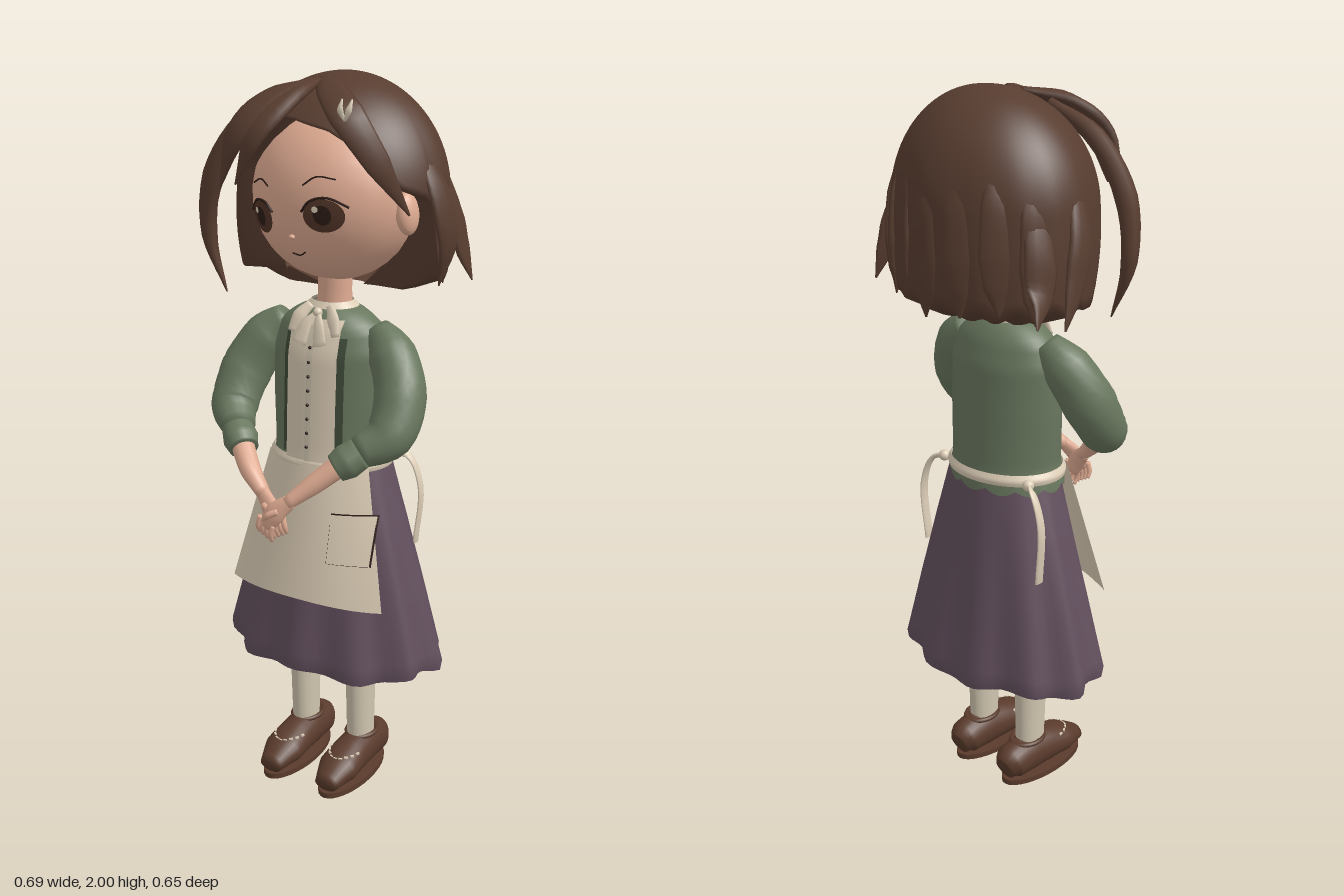
import * as THREE from 'three';

const V = (x, y, z) => new THREE.Vector3(x, y, z);
const paint = (name, color) => {
  const m = new THREE.MeshStandardMaterial({ color, side: THREE.DoubleSide });
  m.name = name;
  return m;
};

// Piecewise linear lookup in rows keyed by their first number
function lookup(rows, k) {
  let i = 0;
  while (i < rows.length - 2 && k > rows[i + 1][0]) i++;
  const a = rows[i], b = rows[i + 1];
  const t = THREE.MathUtils.clamp((k - a[0]) / (b[0] - a[0]), 0, 1);
  return a.map((v, j) => v + (b[j] - v) * t);
}

// Surface from a rule f(u, v); wrap joins the last column to the first
function grid(nu, nv, f, wrap = false) {
  const pos = [], idx = [], cols = wrap ? nu : nu + 1;
  for (let j = 0; j <= nv; j++)
    for (let i = 0; i < cols; i++) pos.push(...f(i / nu, j / nv));
  for (let j = 0; j < nv; j++)
    for (let i = 0; i < nu; i++) {
      const a = j * cols + i, b = j * cols + (i + 1) % cols;
      idx.push(a, b, b + cols, a, b + cols, a + cols);
    }
  const g = new THREE.BufferGeometry();
  g.setAttribute('position', new THREE.Float32BufferAttribute(pos, 3));
  g.setIndex(idx);
  g.computeVertexNormals();
  return g;
}

// Stacked ellipses, rows of [y, rx, rz, cz]; ripple(angle, k) returns [radius scale, y shift]
function loft(rows, steps, ripple = () => [1, 0]) {
  const y0 = rows[0][0], y1 = rows[rows.length - 1][0];
  return grid(72, steps, (u, v) => {
    const a = u * Math.PI * 2, [y, rx, rz, cz] = lookup(rows, y0 + (y1 - y0) * v);
    const [s, dy] = ripple(a, 1 - v);
    return [Math.sin(a) * rx * s, y + dy, cz + Math.cos(a) * rz * s];
  }, true);
}

// Oval section swept along a path; sizes are [half width, half thickness]
function sweep(pts, sizes, out, n = 12) {
  const curve = new THREE.CatmullRomCurve3(pts.map(p => V(...p)));
  const N = (pts.length - 1) * 5;
  return grid(n, N + 2, (u, v) => {
    const j = Math.round(v * (N + 2)), t = THREE.MathUtils.clamp((j - 1) / N, 0, 1);
    const p = curve.getPoint(t), tan = curve.getTangent(t);
    const side = V().crossVectors(tan, out(p)).normalize(), up = V().crossVectors(side, tan);
    const cap = j === 0 || j === N + 2 ? 0 : 1;
    const q = t * (sizes.length - 1), i = Math.min(Math.floor(q), sizes.length - 2);
    const [w, h] = sizes[i].map((s, k) => s + (sizes[i + 1][k] - s) * (q - i));
    const a = u * Math.PI * 2;
    return p.addScaledVector(side, Math.cos(a) * w * cap)
      .addScaledVector(up, Math.sin(a) * h * cap).toArray();
  }, true);
}

export function createModel() {
  const model = new THREE.Group();
  model.name = 'girl';
  const hair = paint('hair brown', 0x583d30), skin = paint('skin', 0xdfab92);
  const green = paint('jacket green', 0x69775e), darkGreen = paint('jacket edge', 0x3e4a38);
  const cream = paint('cream cloth', 0xdccdb6), stocking = paint('stocking', 0xd0c5af);
  const purple = paint('skirt purple', 0x624f5d), leather = paint('shoe leather', 0x5a3b2c);
  const dark = paint('dark brown', 0x2c1b16), iris = paint('iris', 0x523528);
  const add = (name, geo, mat, parent = model) => {
    const m = new THREE.Mesh(geo, mat);
    m.name = name;
    parent.add(m);
    return m;
  };
  const ball = (name, r, p, mat, scale = [1, 1, 1], parent = model) => {
    const m = add(name, new THREE.SphereGeometry(r, 24, 16), mat, parent);
    m.position.set(...p);
    m.scale.set(...scale);
    return m;
  };
  const toUp = () => V(0, 1, 0), toFront = () => V(0, 0, 1);

  // Skirt, with pleats deepening toward the hem
  const skirtRows = [[0.375, 0.32, 0.206, -0.023], [0.39, 0.327, 0.211, -0.023], [0.6, 0.274, 0.18, -0.021],
    [0.8, 0.219, 0.152, -0.018], [0.98, 0.165, 0.128, -0.015]];
  add('skirt', loft(skirtRows, 24, (a, k) => [1 + 0.05 * k * Math.cos(11 * a + 0.4), 0.008 * k * Math.cos(5 * a)]), purple)
    .position.x = 0.008;

  // Jacket body with scalloped hem
  const torsoRows = [[0.95, 0.178, 0.138, -0.015], [1.0, 0.165, 0.13, -0.015], [1.15, 0.172, 0.122, -0.015],
    [1.28, 0.172, 0.114, -0.015], [1.35, 0.15, 0.095, -0.015], [1.385, 0.105, 0.075, -0.015], [1.405, 0.055, 0.05, -0.018]];
  add('jacketBody', loft(torsoRows, 30, (a, k) => [1, k > 0.97 ? -0.016 * Math.abs(Math.cos(6 * a)) : 0]), green);
  const torsoZ = (x, y) => {
    const [, rx, rz, cz] = lookup(torsoRows, y);
    return cz + rz * Math.sqrt(Math.max(0, 1 - (x / rx) ** 2));
  };
  const panel = (x0, x1, y0, y1, off) => grid(12, 16, (u, v) => {
    const x = x0 + (x1 - x0) * u, y = y0 + (y1 - y0) * v;
    return [x, y, torsoZ(x, y) + off];
  });

  // Blouse front, jacket edges and buttons
  add('jacketOpening', panel(-0.087, 0.097, 1.0, 1.33, 0.003), darkGreen);
  add('blouseFront', panel(-0.07, 0.08, 0.99, 1.375, 0.008), cream);
  add('placket', panel(-0.005, 0.013, 0.99, 1.36, 0.011), stocking);
  for (let i = 0; i < 8; i++) {
    const y = 1.03 + i * 0.039;
    ball('button', 0.0045, [0.004, y, torsoZ(0, y) + 0.013], dark);
  }

  // Collar, neck and neck bow
  add('neck', loft([[1.38, 0.05, 0.046, -0.018], [1.43, 0.047, 0.043, -0.018], [1.52, 0.047, 0.043, -0.018]], 8), skin).position.x = 0.006;
  add('collarBand', loft([[1.372, 0.1, 0.076, -0.017], [1.397, 0.075, 0.062, -0.017], [1.412, 0.058, 0.052, -0.017]], 6), cream);
  for (const s of [-1, 1]) {
    add('collarFlap', sweep([[0.03 * s, 1.405, 0.045], [0.052 * s, 1.375, 0.068], [0.068 * s, 1.335, 0.083]],
      [[0.012, 0.008], [0.02, 0.009], [0.012, 0.006]], toFront), cream);
    add('bowTail', sweep([[0.005, 1.39, 0.065], [0.018 * s, 1.36, 0.085], [0.032 * s, 1.31, 0.104]],
      [[0.008, 0.006], [0.016, 0.006], [0.021, 0.004]], toFront), cream);
  }
  ball('bowKnot', 0.013, [0.004, 1.39, 0.066], cream);

  // Apron with pocket and waistband
  const apronHalf = y => 0.158 + (0.985 - y) * 0.226;
  const apronZ = (x, y) => 0.128 + (0.98 - y) * 0.185 - 0.06 * ((x - 0.006) / apronHalf(y)) ** 2;
  add('apron', grid(20, 20, (u, v) => {
    const y = 0.985 - 0.38 * v, x = (u * 2 - 1) * apronHalf(y) + 0.006;
    return [x, y - 0.005 * Math.cos(u * Math.PI * 2) * v, apronZ(x, y)];
  }), cream);
  const pocket = (x0, x1, y0, y1, off) => grid(8, 8, (u, v) => {
    const x = x0 + (x1 - x0) * u, y = y0 + (y1 - y0) * v;
    return [x, y, apronZ(x, y) + off];
  });
  add('pocketEdge', pocket(0.093, 0.21, 0.724, 0.862, 0.006), dark);
  add('pocket', pocket(0.096, 0.207, 0.727, 0.859, 0.011), cream);
  add('pocketHem', pocket(0.094, 0.209, 0.838, 0.861, 0.014), cream);
  add('waistband', loft([[0.965, 0.178, 0.141, -0.015], [0.978, 0.181, 0.144, -0.015], [0.995, 0.17, 0.136, -0.015]], 6), cream);
  for (const s of [-1, 1]) {
    add('apronTie', sweep([[0.15 * s, 0.978, -0.1], [0.19 * s, 0.965, -0.115], [0.225 * s, 0.88, -0.12], [0.215 * s, 0.71, -0.115]],
      [[0.008, 0.006], [0.012, 0.005], [0.014, 0.005], [0.015, 0.005]], () => V(s, 0, 0)), cream);
    ball('tieKnot', 0.016, [0.16 * s, 0.975, -0.1], cream);
  }

  // Arms, hands, legs and shoes
  for (const s of [-1, 1]) {
    const arm = new THREE.Group();
    arm.name = s > 0 ? 'leftArm' : 'rightArm';
    model.add(arm);
    add('sleeve', sweep([[0.14 * s, 1.345, -0.012], [0.195 * s, 1.29, 0.005], [0.245 * s, 1.19, 0.045], [0.245 * s, 1.1, 0.105], [0.19 * s, 1.06, 0.165]],
      [[0.035, 0.04], [0.064, 0.066], [0.07, 0.074], [0.066, 0.064], [0.045, 0.042]], toUp, 20), green, arm);
    add('cuff', sweep([[0.195 * s, 1.062, 0.165], [0.168 * s, 1.04, 0.187], [0.145 * s, 1.022, 0.205]],
      [[0.043, 0.043], [0.049, 0.047], [0.04, 0.038]], toUp, 16), green, arm);
    const dz = 0.012 * s;
    add('forearm', sweep([[0.165 * s, 1.04, 0.19], [0.1 * s, 0.98, 0.24], [0.045 * s, 0.93, 0.272 + dz]],
      [[0.033, 0.031], [0.029, 0.027], [0.02, 0.018]], toUp, 14), skin, arm);
    add('palm', sweep([[0.055 * s, 0.938, 0.267 + dz], [0.015 * s, 0.9, 0.285 + dz], [-0.01 * s, 0.86, 0.288 + dz]],
      [[0.019, 0.015], [0.029, 0.014], [0.024, 0.012]], toFront, 14), skin, arm);
    for (let i = 0; i < 4; i++) {
      const x = (0.012 - i * 0.013) * s, y = 0.856 + i * 0.007;
      add('finger', sweep([[x, y + 0.01, 0.29 + dz], [x - 0.007 * s, y - 0.018, 0.292 + dz], [x - 0.008 * s, y - 0.038, 0.284 + dz]],
        [[0.008, 0.008], [0.0075, 0.0075], [0.005, 0.005]], toFront, 8), skin, arm);
    }
    add('thumb', sweep([[0.03 * s, 0.91, 0.295 + dz], [0.008 * s, 0.9, 0.306 + dz], [-0.008 * s, 0.885, 0.306 + dz]],
      [[0.009, 0.009], [0.009, 0.008], [0.006, 0.006]], toFront, 8), skin, arm);

    const leg = new THREE.Group();
    leg.name = s > 0 ? 'leftLeg' : 'rightLeg';
    leg.position.x = 0.095 * s + 0.008;
    model.add(leg);
    add('stocking', loft([[0.08, 0.036, 0.046, -0.008], [0.2, 0.038, 0.05, -0.007], [0.42, 0.042, 0.055, -0.005], [0.6, 0.045, 0.055, -0.005]], 14), stocking, leg);
    add('shoe', sweep([[0, 0.052, -0.117], [0, 0.064, -0.09], [0, 0.07, -0.02], [0, 0.067, 0.05], [0, 0.058, 0.12], [0, 0.038, 0.19]],
      [[0.03, 0.038], [0.05, 0.053], [0.053, 0.06], [0.056, 0.055], [0.06, 0.044], [0.034, 0.024]], toUp, 24), leather, leg);
    const lip = add('shoeOpening', new THREE.TorusGeometry(0.042, 0.007, 8, 24), leather, leg);
    lip.rotation.x = Math.PI / 2;
    lip.scale.y = 1.25;
    lip.position.set(0, 0.118, -0.018);
    const sole = add('sole', new THREE.CylinderGeometry(0.064, 0.064, 0.016, 32), leather, leg);
    sole.scale.z = 2.45;
    sole.position.set(0, 0.008, 0.042);
    // Stitching over the vamp
    for (let i = -4; i <= 4; i++) {
      const a = i * 0.33, x = Math.sin(a) * 0.045, z = 0.065 + Math.cos(a) * 0.07;
      const [, w, h, cy] = lookup([[0.05, 0.056, 0.055, 0.067], [0.12, 0.06, 0.044, 0.058], [0.19, 0.034, 0.024, 0.038]], z);
      const d = add('stitch', new THREE.BoxGeometry(0.011, 0.006, 0.005), cream, leg);
      d.position.set(x, cy + h * Math.sqrt(1 - (x / w) ** 2) + 0.002, z);
      d.rotation.y = a;
    }
  }

  // Head, tilted and turned slightly
  const head = new THREE.Group();
  head.name = 'head';
  head.position.set(0, 1.69, -0.03);
  head.rotation.set(0, -0.15, 0.12);
  model.add(head);
  ball('face', 1, [0, 0, 0], skin, [0.236, 0.225, 0.2], head);
  const faceZ = (x, y) => 0.2 * Math.sqrt(Math.max(0, 1 - (x / 0.236) ** 2 - (y / 0.225) ** 2));
  const disc = (cx, cy, w, h, off) => grid(28, 5, (u, v) => {
    const a = u * Math.PI * 2, x = cx + Math.cos(a) * w * v, y = cy + Math.sin(a) * h * v;
    return [x, y, faceZ(x, y) + off];
  }, true);
  const line = (name, pts, r) => add(name, new THREE.TubeGeometry(
    new THREE.CatmullRomCurve3(pts.map(([x, y]) => V(x, y, faceZ(x, y) + 0.002))), 16, r, 6), dark, head);
  for (const s of [-1, 1]) {
    const x = 0.104 * s, y = -0.037;
    add('eye', disc(x, y, 0.05, 0.042, 0.003), iris, head);
    add('pupil', disc(x, y + 0.002, 0.022, 0.025, 0.005), dark, head);
    add('eyeGlint', disc(x - 0.014, y + 0.018, 0.008, 0.008, 0.007), cream, head);
    line('lashLine', [[x - 0.054 * s, y + 0.014], [x - 0.028 * s, y + 0.039], [x + 0.015 * s, y + 0.044], [x + 0.06 * s, y + 0.016]], 0.0035);
    line('eyebrow', [[x - 0.045 * s, 0.042], [x - 0.01 * s, 0.06], [x + 0.035 * s, 0.05]], 0.0022);
    ball('ear', 0.05, [0.232 * s, -0.055, 0.0], skin, [0.5, 1.1, 0.75], head);
  }
  ball('nose', 0.009, [0, -0.088, faceZ(0, -0.088)], skin, [1, 0.8, 1], head);
  line('mouth', [[-0.022, -0.132], [0, -0.138], [0.022, -0.13]], 0.002);

  // Hair shell: bottom height by angle from the front, with the rim folded under
  const edge = [[-3.15, 1.485], [-1.22, 1.47], [-1.05, 1.6], [-0.8, 1.77], [-0.37, 1.895], [-0.1, 1.89], [0.3, 1.87],
    [0.67, 1.82], [1.0, 1.73], [1.3, 1.7], [1.46, 1.49], [3.15, 1.485]];
  const shell = (a, y, scale = 1) => {
    const low = Math.max(0, 1.7 - y), c = Math.cos(a);
    const flat = c < 0 ? 1 - 0.07 * Math.max(0, -Math.sin(2 * a)) : 1;
    const r = (y > 1.7 ? Math.sqrt(Math.max(0, 1 - ((y - 1.7) / 0.3) ** 2)) : 1 + 0.25 * low - 1.5 * low * low) * scale * flat;
    return [Math.sin(a) * 0.3 * r, y, -0.085 + c * (c > 0 ? 0.27 : 0.228) * r];
  };
  add('hairCap', grid(120, 40, (u, v) => {
    const a = u * Math.PI * 2 - Math.PI, back = Math.abs(a) > 1.45 ? 1 : 0;
    const s = Math.min(1, v / 0.85), fold = Math.max(0, v - 0.85) / 0.15;
    const yb = lookup(edge, a)[1] + 0.01 * Math.cos(17 * a) * back * (1 - fold);
    const ridge = 1 + 0.01 * Math.cos(17 * a) * s ** 4 * back * (1 - fold);
    const drop = 0.045 * Math.min(1, fold * 2.2) * back;
    return shell(a, 2 - (2 - yb) * s * s - drop, ridge * (1 - (back ? 0.8 : 0.42) * fold));
  }, true), hair);

  // Loose locks, flattened against the head
  const fromHead = p => V(p.x, (p.y - 1.7) * 0.8, p.z + 0.085);
  const lock = (name, pts, w, h = 0.015) => add(name, sweep(pts,
    [[w * 0.35, h * 0.4], [w * 0.85, h * 0.9], [w, h], [w * 0.75, h * 0.7], [0.003, 0.002]], fromHead, 10), hair);
  lock('fringeOuter', [[-0.02, 1.98, 0.02], [-0.07, 1.945, 0.14], [-0.14, 1.86, 0.215], [-0.205, 1.72, 0.2]], 0.058, 0.02);
  lock('fringeInner', [[-0.02, 1.98, 0.02], [-0.03, 1.945, 0.14], [-0.075, 1.86, 0.23], [-0.14, 1.735, 0.225]], 0.04, 0.018);
  lock('fringeLeft', [[-0.03, 1.985, -0.02], [0.06, 1.965, 0.09], [0.15, 1.915, 0.165], [0.225, 1.8, 0.14], [0.27, 1.67, 0.06]], 0.045);
  lock('sideLockRight', [[-0.08, 1.95, 0.06], [-0.2, 1.87, 0.1], [-0.29, 1.73, 0.115], [-0.318, 1.57, 0.1], [-0.265, 1.42, 0.1]], 0.054, 0.03);
  lock('sideLockRightBack', [[-0.27, 1.8, -0.06], [-0.31, 1.66, -0.08], [-0.32, 1.55, -0.11], [-0.335, 1.45, -0.16]], 0.045);
  lock('backLockRight', [[-0.24, 1.78, -0.17], [-0.275, 1.64, -0.19], [-0.29, 1.54, -0.2], [-0.325, 1.47, -0.25]], 0.045);
  lock('sideLockLeft', [[0.255, 1.82, -0.03], [0.305, 1.7, -0.04], [0.318, 1.58, -0.06], [0.29, 1.47, -0.07]], 0.045);
  lock('backLockLeft', [[0.25, 1.8, -0.12], [0.295, 1.66, -0.13], [0.312, 1.57, -0.15], [0.332, 1.47, -0.18]], 0.05);
  // Back locks start inside the shell and surface near the ends
  for (let i = 0; i < 7; i++) {
    const a = Math.PI + (i - 3) * 0.37, dy = 0.014 * (i % 3);
    const rows = [[1.82, 0.95], [1.72, 0.96], [1.6, 0.975], [1.52, 0.985], [1.452, 1.0]];
    lock('backLock', rows.map(([y, k]) => shell(a, y + dy, k)), 0.05);
  }

  // Leaf-shaped hair clip
  for (const s of [-1, 1])
    add('hairClip', sweep([[0.16, 1.905, 0.19], [0.16 + 0.012 * s, 1.93, 0.192], [0.162 + 0.014 * s, 1.955, 0.182]],
      [[0.004, 0.004], [0.009, 0.004], [0.002, 0.002]], toFront, 8), s > 0 ? cream : stocking);
  return model;
}
